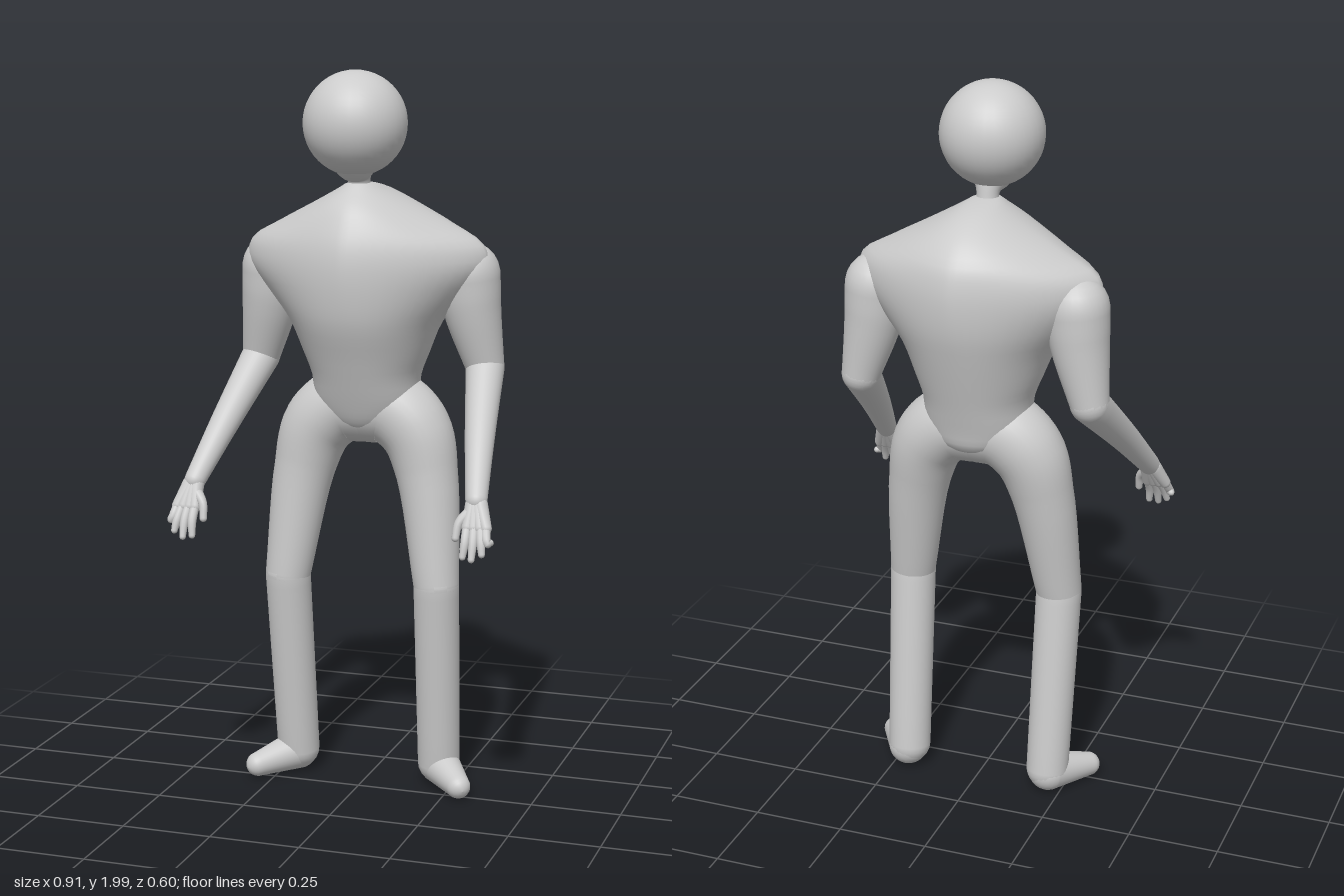
import * as THREE from 'three';

const material = new THREE.MeshStandardMaterial({ color: 0xcccccc });
const SEG = 32;

// Closed skin over a stack of point rings (counter-clockwise about the travel direction)
function skin(name, rings) {
  const n = rings[0].length, pos = [], idx = [];
  rings.forEach(r => r.forEach(p => pos.push(p.x, p.y, p.z)));
  for (let i = 0; i < rings.length - 1; i++) {
    for (let j = 0; j < n; j++) {
      const k = (j + 1) % n, a = i * n, b = a + n;
      idx.push(a + j, a + k, b + j, a + k, b + k, b + j);
    }
  }
  const g = new THREE.BufferGeometry();
  g.setAttribute('position', new THREE.Float32BufferAttribute(pos, 3));
  g.setIndex(idx);
  g.computeVertexNormals();
  const mesh = new THREE.Mesh(g, material);
  mesh.name = name;
  return mesh;
}

// Tapered limb with round ends through [x, y, z, radius] stations; side mirrors it in x
function limb(name, stations, side = 1, steps = 6, seg = SEG) {
  const path = new THREE.CatmullRomCurve3(stations.map(s => new THREE.Vector3(s[0] * side, s[1], s[2])));
  const radii = new THREE.CatmullRomCurve3(stations.map((s, i) => new THREE.Vector3(s[3], i, 0)));
  const rings = [], count = steps * (stations.length - 1);
  const ring = (c, t, r) => {
    const u = new THREE.Vector3().crossVectors(t, new THREE.Vector3(0, 0, 1)).normalize();
    const v = new THREE.Vector3().crossVectors(t, u);
    rings.push(Array.from({ length: seg }, (_, j) => {
      const a = j / seg * Math.PI * 2;
      return c.clone().addScaledVector(u, r * Math.cos(a)).addScaledVector(v, r * Math.sin(a));
    }));
  };
  const cap = (f, dir) => {
    const c = path.getPoint(f), t = path.getTangent(f), r = radii.getPoint(f).x;
    for (let k = 0; k < 6; k++) {
      const a = Math.PI / 2 * (dir < 0 ? 1 - k / 6 : (k + 1) / 6);
      ring(c.clone().addScaledVector(t, dir * r * Math.sin(a)), t, Math.max(r * Math.cos(a), 1e-4));
    }
  };
  cap(0, -1);
  for (let i = 0; i <= count; i++) {
    const f = i / count;
    ring(path.getPoint(f), path.getTangent(f), radii.getPoint(f).x);
  }
  cap(1, 1);
  return skin(name, rings);
}

// Hunched torso: [height, half width, front z, back z, roundness]
function torso() {
  const rows = [
    [1.02, 0.06, 0.0, -0.15, 2], [1.05, 0.12, 0.025, -0.19, 2], [1.1, 0.145, 0.048, -0.205, 2],
    [1.17, 0.15, 0.075, -0.225, 2], [1.235, 0.175, 0.1, -0.245, 1.9], [1.325, 0.215, 0.135, -0.272, 1.8],
    [1.4, 0.28, 0.15, -0.292, 1.6], [1.475, 0.34, 0.155, -0.3, 1.45], [1.535, 0.33, 0.148, -0.296, 1.45],
    [1.585, 0.25, 0.13, -0.28, 1.6], [1.64, 0.145, 0.098, -0.23, 1.8], [1.68, 0.07, 0.05, -0.15, 2],
    [1.7, 0.03, 0.02, -0.05, 2], [1.702, 0.001, -0.01, -0.012, 2],
  ];
  const n = 56;
  const power = (v, e) => Math.sign(v) * Math.abs(v) ** e;
  const columns = Array.from({ length: n }, (_, j) => {
    const a = j / n * Math.PI * 2;
    return new THREE.CatmullRomCurve3(rows.map(([y, w, f, b, p]) => new THREE.Vector3(
      w * power(Math.cos(a), 2 / p), y, (f + b) / 2 - (f - b) / 2 * power(Math.sin(a), 2 / p))));
  });
  const count = (rows.length - 1) * 3;
  return skin('torso', Array.from({ length: count + 1 }, (_, i) => columns.map(c => c.getPoint(i / count))));
}

function arm(side) {
  const g = new THREE.Group();
  g.name = side > 0 ? 'leftArm' : 'rightArm';
  g.add(limb('upperArm', [[0.28, 1.455, -0.1, 0.086], [0.29, 1.36, -0.104, 0.079], [0.324, 1.2, -0.118, 0.053]], side));
  g.add(limb('forearm', [[0.324, 1.2, -0.118, 0.053], [0.362, 1.04, 0.07, 0.04], [0.394, 0.905, 0.215, 0.029]], side));
  // Palm: flattened across the thickness by placing overlapping bones side by side
  [-0.018, -0.006, 0.007, 0.02].forEach((d, i) => {
    g.add(limb('palm', [[0.396 + d * 0.5, 0.895, 0.222, 0.021], [0.404 + d * 1.3, 0.84, 0.252, 0.016]], side, 4, 16));
  });
  // Fingers from inner to outer, then the thumb
  [
    [0.380, 0.377, 0.768, 0.285], [0.398, 0.402, 0.764, 0.29],
    [0.415, 0.428, 0.778, 0.284], [0.429, 0.446, 0.806, 0.264],
  ].forEach(([x0, x1, y1, z1]) => {
    g.add(limb('finger', [[x0, 0.845, 0.25, 0.013], [(x0 + x1) / 2 + 0.002, 0.806, 0.274, 0.012], [x1, y1, z1, 0.009]], side, 4, 12));
  });
  g.add(limb('thumb', [[0.385, 0.88, 0.232, 0.016], [0.358, 0.85, 0.252, 0.012], [0.352, 0.812, 0.264, 0.01]], side, 4, 12));
  return g;
}

function leg(side) {
  const g = new THREE.Group();
  g.name = side > 0 ? 'leftLeg' : 'rightLeg';
  // Thigh arches out of the pelvis and down to the knee
  g.add(limb('thigh', [
    [0, 1.088, -0.08, 0.108], [0.075, 1.078, -0.08, 0.105], [0.14, 1.02, -0.075, 0.1],
    [0.178, 0.9, -0.064, 0.085], [0.216, 0.6, -0.028, 0.063],
  ], side));
  g.add(limb('shin', [[0.216, 0.6, -0.028, 0.063], [0.209, 0.07, -0.09, 0.059]], side));
  g.add(limb('foot', [[0.212, 0.062, -0.092, 0.056], [0.295, 0.042, 0.014, 0.034]], side));
  return g;
}

export function createModel() {
  const model = new THREE.Group();
  model.name = 'figure';
  const head = new THREE.Mesh(new THREE.SphereGeometry(0.14, 32, 24), material);
  head.name = 'head';
  head.position.set(0, 1.86, 0.026);
  model.add(head, torso());
  model.add(limb('neck', [[0, 1.67, -0.012, 0.032], [0, 1.715, -0.006, 0.032], [0, 1.745, 0.012, 0.06], [0, 1.785, 0.022, 0.1]]));
  for (const side of [1, -1]) model.add(arm(side), leg(side));
  return model;
}
